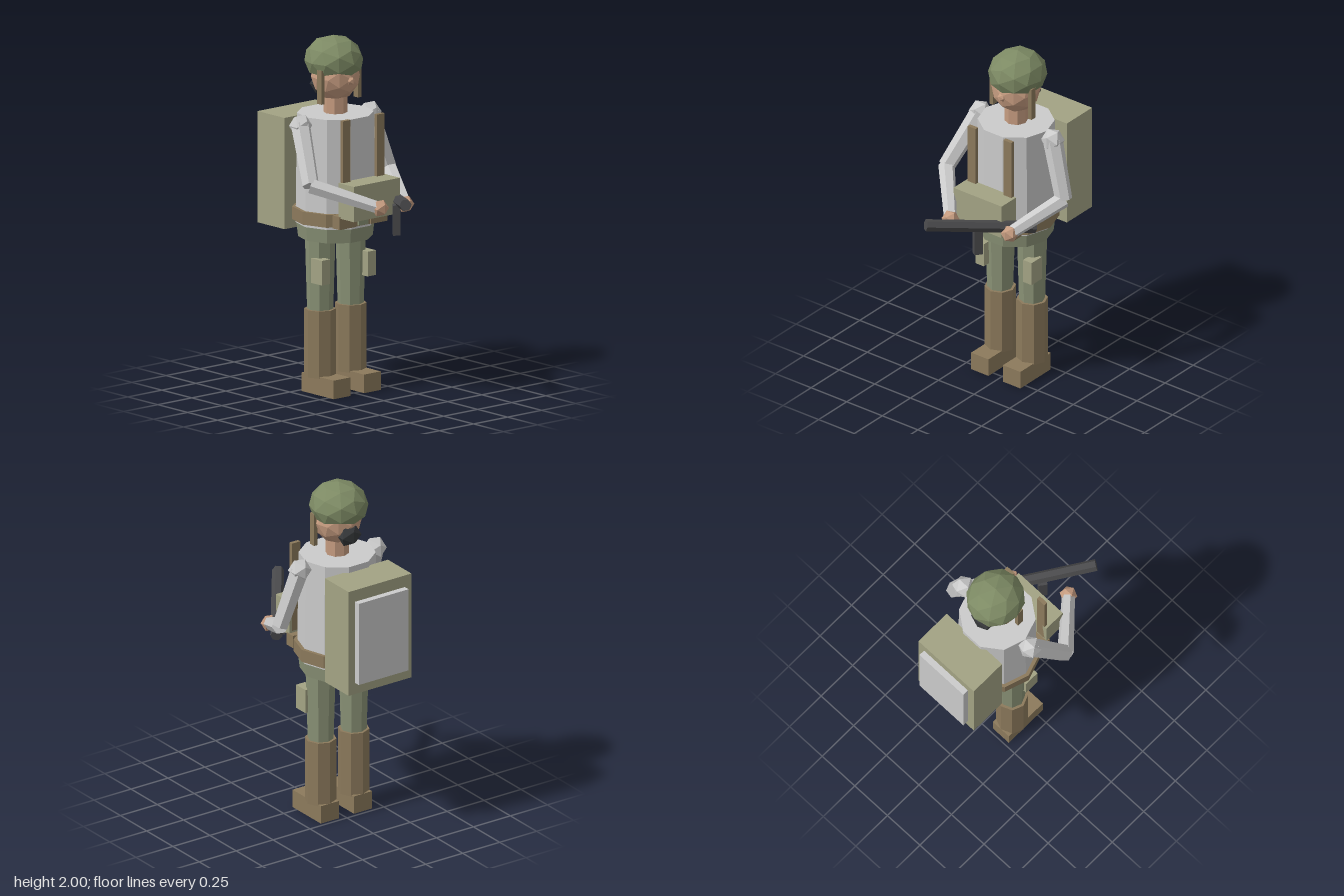
import * as THREE from 'three';

const CX = -0.012, CZ = -0.14; // body axis

const mat = (color) => new THREE.MeshStandardMaterial({ color, flatShading: true });
const GREY = mat(0xcccccc), HELMET = mat(0x7d8a64), CLOTH = mat(0x8a9276), PACK = mat(0xa3a384),
  LEATHER = mat(0x8c7a5c), SKIN = mat(0xc69c80), DARK = mat(0x4a4a4c), BLACK = mat(0x36383a);

export function createModel() {
  const model = new THREE.Group();
  model.name = 'soldier';

  const add = (name, geometry, material, x = 0, y = 0, z = 0) => {
    const mesh = new THREE.Mesh(geometry, material);
    mesh.name = name;
    mesh.position.set(x, y, z);
    model.add(mesh);
    return mesh;
  };
  // Box from its lower and upper bounds
  const box = (name, material, [x0, x1], [y0, y1], [z0, z1]) =>
    add(name, new THREE.BoxGeometry(x1 - x0, y1 - y0, z1 - z0), material,
      (x0 + x1) / 2, (y0 + y1) / 2, (z0 + z1) / 2);
  // Upright faceted cylinder; turn rotates the facets
  const column = (name, material, x, y0, y1, rTop, rBottom, sides, turn = 0) =>
    add(name, new THREE.CylinderGeometry(rTop, rBottom, y1 - y0, sides).rotateY(turn),
      material, x, (y0 + y1) / 2, CZ);
  // Faceted rod between two points
  const rod = (name, material, a, b, rA, rB, sides) => {
    const p = new THREE.Vector3(...a), q = new THREE.Vector3(...b);
    const mesh = add(name, new THREE.CylinderGeometry(rB, rA, p.distanceTo(q), sides), material);
    mesh.position.copy(p).lerp(q, 0.5);
    mesh.quaternion.setFromUnitVectors(new THREE.Vector3(0, 1, 0), q.sub(p).normalize());
    return mesh;
  };
  const ball = (name, material, [x, y, z], r, detail = 0) =>
    add(name, new THREE.IcosahedronGeometry(r, detail), material, x, y, z);

  // Trunk, with a flat facet facing forward
  const flat = Math.PI / 10;
  column('torso', GREY, CX, 0.95, 1.57, 0.213, 0.221, 10, flat);
  column('hips', CLOTH, CX, 0.87, 1.0, 0.222, 0.207, 10, flat);
  column('belt', LEATHER, CX, 0.967, 1.04, 0.24, 0.24, 10, flat);
  box('beltBuckle', CLOTH, [-0.05, 0.02], [0.972, 1.035], [0.06, 0.1]);
  for (const s of [-1, 1]) {
    const x = CX + s * 0.115;
    box('beltPouch', LEATHER, [x - 0.06, x + 0.06], [0.967, 1.04], [0.035, 0.095]);
  }

  // Chest gear
  box('chestPouch', PACK, [-0.18, 0.158], [1.03, 1.23], [0.075, 0.205]);
  for (const s of [-1, 1]) {
    const x = CX + s * 0.125;
    box('chestStrap', LEATHER, [x - 0.028, x + 0.028], [1.05, 1.58], [0.075, 0.097]);
  }

  // Backpack
  box('backpack', PACK, [-0.225, 0.2], [0.905, 1.535], [-0.547, -0.323]);
  box('backpackPanel', GREY, [-0.18, 0.157], [0.973, 1.465], [-0.583, -0.545]);

  // Legs
  for (const s of [-1, 1]) {
    const x = CX + s * 0.112;
    column('trouserLeg', CLOTH, x, 0.45, 0.9, 0.085, 0.072, 8);
    column('boot', LEATHER, x, 0.095, 0.475, 0.088, 0.088, 8);
    box('shoe', LEATHER, [x - 0.061, x + 0.061], [0, 0.105], [-0.228, 0.042]);
    const px = CX + s * 0.168;
    box('thighPouch', PACK, [px - 0.03, px + 0.03], [0.635, 0.775], [-0.117, -0.027]);
  }

  // Head
  column('neck', SKIN, CX, 1.53, 1.7, 0.066, 0.066, 8);
  ball('head', SKIN, [CX, 1.775, CZ], 0.137, 1);
  ball('nose', SKIN, [CX, 1.767, -0.012], 0.025);
  ball('hairBun', BLACK, [CX, 1.715, -0.258], 0.068, 0).scale.set(1.1, 0.95, 0.7);
  for (const s of [-1, 1]) {
    const x = CX + s * 0.135;
    box('helmetStrap', LEATHER, [x - 0.012, x + 0.012], [1.64, 1.83], [-0.127, -0.09]);
  }

  // Helmet: squashed faceted ball with a flat underside
  const dome = new THREE.IcosahedronGeometry(0.167, 1).scale(0.97, 0.84, 1.02);
  const pos = dome.attributes.position;
  for (let i = 0; i < pos.count; i++) pos.setY(i, Math.max(pos.getY(i), -0.065));
  dome.computeVertexNormals();
  add('helmet', dome, HELMET, CX, 1.863, -0.154);

  // Arms: shoulder, elbow, hand
  const arms = {
    right: [[-0.265, 1.53, -0.143], [-0.355, 1.235, 0.045], [-0.1, 1.12, 0.333]],
    left: [[0.243, 1.53, -0.143], [0.35, 1.205, -0.105], [0.207, 1.072, 0.195]],
  };
  for (const [side, [shoulder, elbow, hand]] of Object.entries(arms)) {
    ball(side + 'Shoulder', GREY, shoulder, 0.066);
    rod(side + 'UpperArm', GREY, shoulder, elbow, 0.056, 0.048, 6);
    rod(side + 'Forearm', GREY, elbow, hand, 0.047, 0.037, 6);
    ball(side + 'Hand', SKIN, hand, 0.05);
  }

  // Rifle held across the body
  rod('rifleBarrel', DARK, [0.268, 1.068, 0.045], [-0.103, 1.175, 0.55], 0.034, 0.034, 6);
  const magazine = add('rifleMagazine', new THREE.BoxGeometry(0.04, 0.17, 0.05), DARK, 0.058, 1.023, 0.29);
  magazine.rotation.y = -0.63;

  return model;
}
